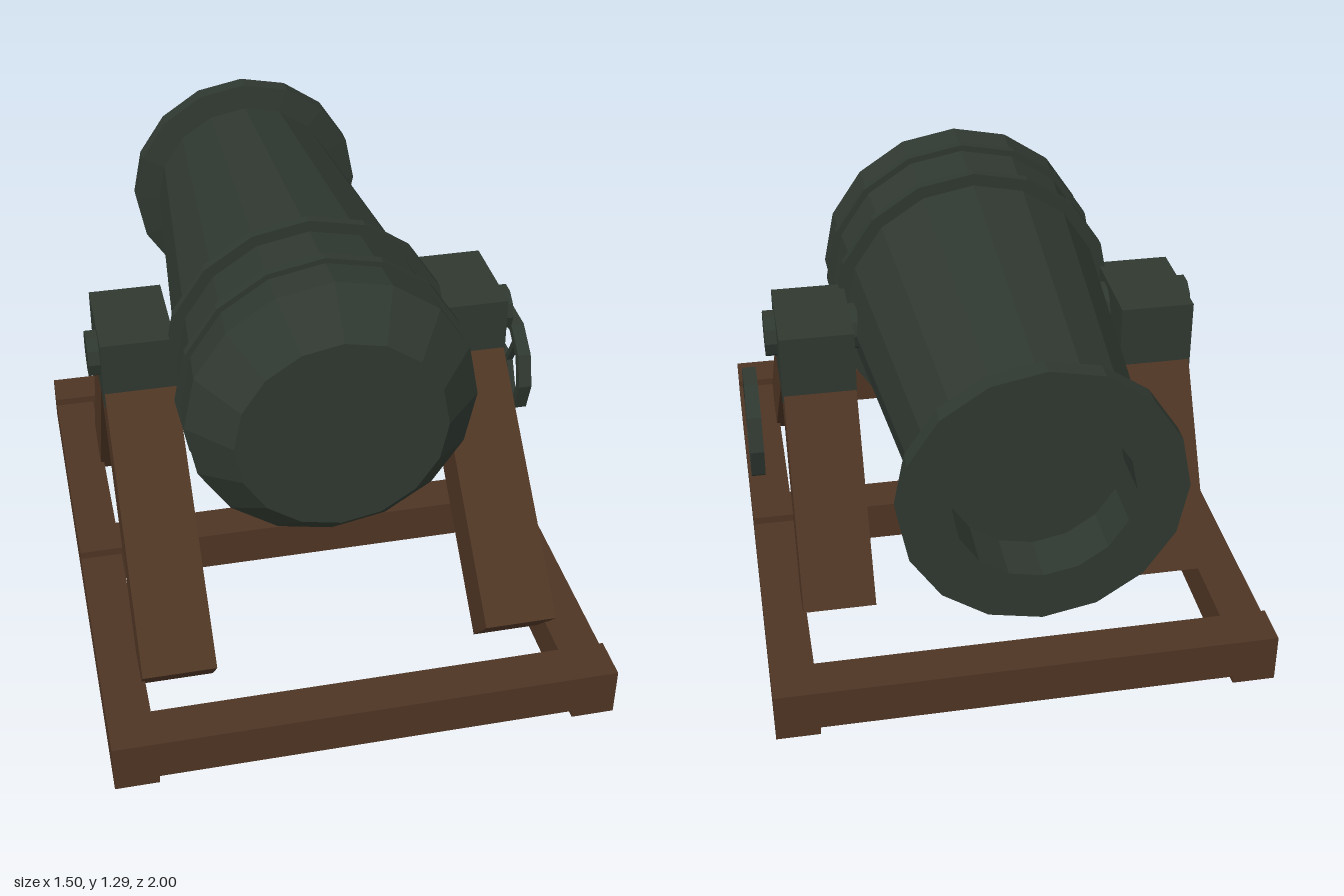
import * as THREE from 'three';

export function createModel() {
  const model = new THREE.Group();
  const wood = new THREE.MeshStandardMaterial({ color: 0x4e3524 });
  wood.name = 'dark wood';
  const iron = new THREE.MeshStandardMaterial({ color: 0x2f3830 });
  iron.name = 'dark iron';

  // Faceted mesh: every face gets its own normal
  function add(name, geometry, material, parent = model) {
    const flat = geometry.toNonIndexed();
    flat.computeVertexNormals();
    const mesh = new THREE.Mesh(flat, material);
    mesh.name = name;
    parent.add(mesh);
    return mesh;
  }
  // Box from its minimum and maximum corners
  function span(name, material, x0, x1, y0, y1, z0, z1) {
    const box = new THREE.BoxGeometry(x1 - x0, y1 - y0, z1 - z0);
    return add(name, box.translate((x0 + x1) / 2, (y0 + y1) / 2, (z0 + z1) / 2), material);
  }
  const profile = (pairs) => pairs.map(([r, h]) => new THREE.Vector2(r, h));
  const axisY = 0.843;

  // Barrel: bore, muzzle lip, tapered tube and chamfered breech, along z
  const barrel = new THREE.LatheGeometry(profile([
    [0, -0.85], [0.25, -0.85], [0.25, -1], [0.395, -1], [0.395, -0.945],
    [0.315, -0.93], [0.437, 0.465], [0.315, 0.595], [0, 0.595],
  ]), 16);
  add('barrel', barrel.rotateX(Math.PI / 2).translate(0, axisY, 0), iron);

  // Reinforcing bands
  for (const z of [0.33, 0.11]) {
    const band = new THREE.CylinderGeometry(0.443, 0.443, 0.03, 16);
    add('barrelBand', band.rotateX(Math.PI / 2).translate(0, axisY, z), iron);
  }

  // Trunnion axle through both bearing blocks
  const axle = new THREE.CylinderGeometry(0.072, 0.072, 1.34, 10);
  add('trunnion', axle.rotateZ(Math.PI / 2).translate(0, 0.84, 0.013), iron);

  // Sloping leg, from the centre of its foot upwards
  function leg(name, x, footZ, footY, dirZ, dirY, length) {
    const beam = new THREE.BoxGeometry(0.22, 0.164, length).translate(0, 0, length / 2);
    const mesh = add(name, beam, wood);
    mesh.position.set(x, footY, footZ);
    mesh.lookAt(x, footY + dirY, footZ + dirZ);
  }

  // Both sides of the carriage
  for (const side of [-1, 1]) {
    const [bx0, bx1] = side > 0 ? [0.41, 0.635] : [-0.635, -0.41];
    span('bearingBlock', iron, bx0, bx1, 0.71, 0.93, -0.195, 0.125);
    leg('frontLeg', side * 0.521, 0.722, 0.132, -0.755, 0.656, 0.92);
    leg('rearLeg', side * 0.521, -0.466, 0.133, 0.521, 0.854, 0.76);
    const [rx0, rx1] = side > 0 ? [0.62, 0.75] : [-0.75, -0.62];
    span('sideRail', wood, rx0, rx1, 0, 0.13, -0.875, 1);
  }

  // Cross bars of the base frame
  for (const z of [-0.875, 0, 0.87]) {
    span('crossBar', wood, -0.75, 0.75, 0.025, 0.155, z, z + 0.13);
  }

  // Elevating hand wheel with three spokes
  const wheel = new THREE.Group();
  wheel.name = 'handWheel';
  wheel.position.set(0.725, 0.577, -0.073);
  const rim = new THREE.LatheGeometry(profile([
    [0.145, -0.021], [0.175, -0.021], [0.175, 0.021], [0.145, 0.021], [0.145, -0.021],
  ]), 10);
  add('wheelRim', rim.rotateZ(Math.PI / 2), iron, wheel);
  for (let i = 0; i < 3; i++) {
    const spoke = new THREE.BoxGeometry(0.02, 0.02, 0.15).translate(0, 0, -0.075);
    add('wheelSpoke', spoke.rotateX(i * Math.PI * 2 / 3), iron, wheel);
  }
  model.add(wheel);

  return model;
}
